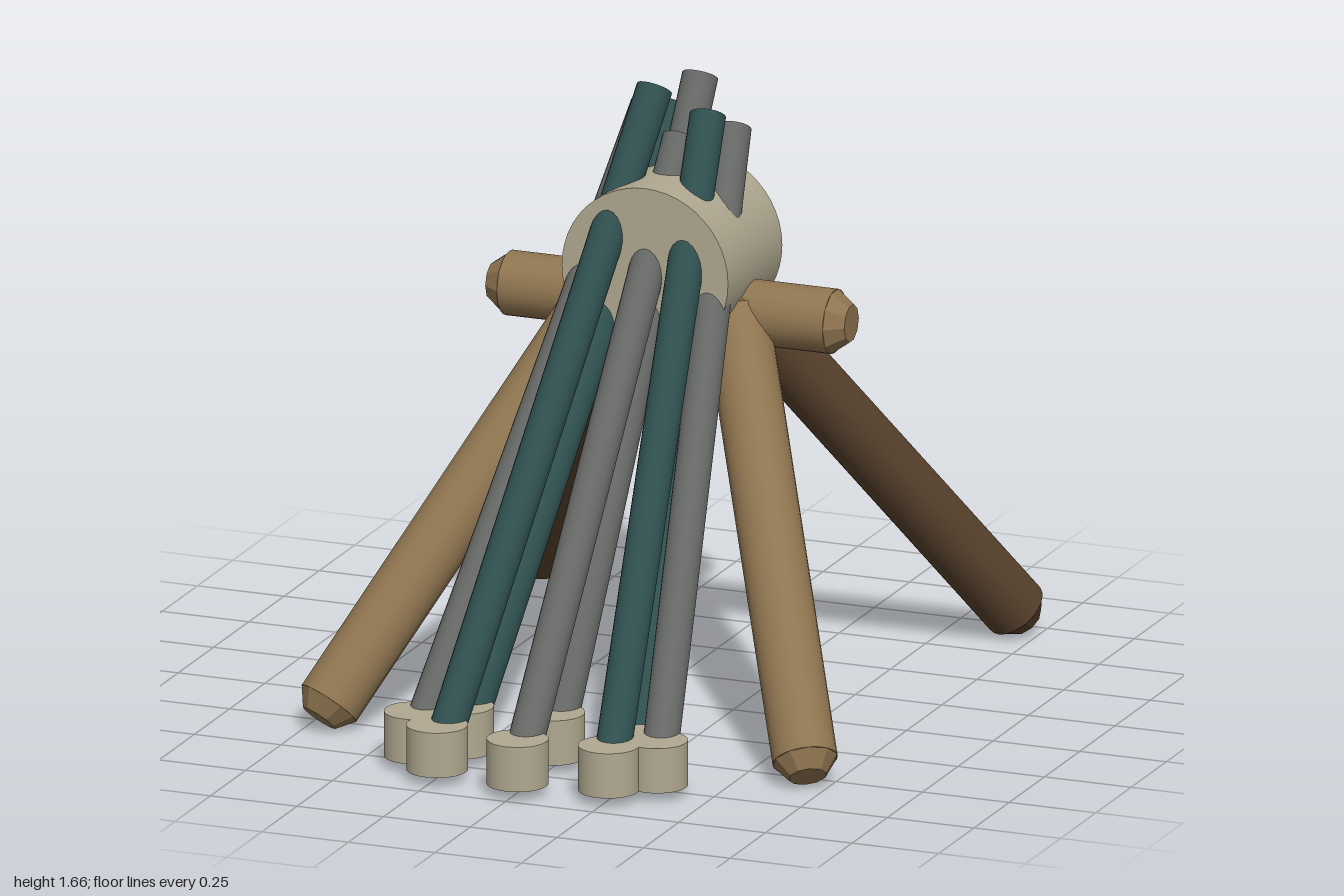
import * as THREE from 'three';

const material = (name, color) => {
  const m = new THREE.MeshStandardMaterial({ color });
  m.name = name;
  return m;
};

// Turns a mesh built along +y so that it spans from a to b
function span(object, a, b) {
  const dir = b.clone().sub(a).normalize();
  object.quaternion.setFromUnitVectors(new THREE.Vector3(0, 1, 0), dir);
  object.position.copy(a).add(b).multiplyScalar(0.5);
  return object;
}

// Round pole with faceted, bevelled ends
function pole(name, a, b, radius, mat) {
  const group = new THREE.Group();
  group.name = name;
  const bevel = 0.048;
  const body = a.distanceTo(b) - 2 * bevel;
  const shaft = new THREE.Mesh(new THREE.CylinderGeometry(radius, radius, body, 24), mat);
  shaft.name = name + 'Shaft';
  group.add(shaft);
  for (const side of [1, -1]) {
    const geo = new THREE.CylinderGeometry(0.052, radius, bevel, 10).toNonIndexed();
    geo.computeVertexNormals();
    const tip = new THREE.Mesh(geo, mat);
    tip.name = name + 'Tip';
    tip.position.y = side * (body + bevel) / 2;
    if (side < 0) tip.rotation.x = Math.PI;
    group.add(tip);
  }
  return span(group, a, b);
}

export function createModel() {
  const model = new THREE.Group();
  model.name = 'tubeStand';
  const v = (x, y, z) => new THREE.Vector3(x, y, z);

  const bone = material('bone', 0xb0a890);
  const tan = material('tanWood', 0x8f7550);
  const brown = material('darkWood', 0x5a432e);
  const teal = material('darkTeal', 0x2f4f4f);
  const grey = material('grey', 0x666866);

  // Drum lying along z
  const drum = new THREE.Mesh(new THREE.CylinderGeometry(0.24, 0.24, 0.385, 48), bone);
  drum.name = 'drum';
  drum.rotation.x = Math.PI / 2;
  drum.position.set(0, 1.2, -0.18);
  model.add(drum);

  // Crossbar and four splayed legs
  model.add(pole('crossbar', v(-0.518, 1.068, -0.18), v(0.518, 1.068, -0.18), 0.088, tan));
  for (const s of [1, -1]) {
    const side = s > 0 ? 'Left' : 'Right';
    const top = v(s * 0.18, 1.1, -0.18);
    model.add(pole('front' + side + 'Leg', top, v(s * 0.705, 0.042, 0.59), 0.088, tan));
    model.add(pole('back' + side + 'Leg', top, v(s * 0.705, 0.042, -0.95), 0.088, brown));
  }

  // Upper ends of the eight tubes, starting at the front and turning to +x
  const tops = [
    v(0, 1.51, -0.24), v(0.075, 1.58, -0.25), v(0.12, 1.53, -0.32), v(0.075, 1.49, -0.37),
    v(0, 1.645, -0.38), v(-0.075, 1.56, -0.37), v(-0.12, 1.57, -0.31), v(-0.075, 1.64, -0.24),
  ];

  // Tubes rise from an oval ring of cups through the drum
  tops.forEach((top, i) => {
    const angle = i * Math.PI / 4;
    const x = 0.35 * Math.sin(angle);
    const z = 0.785 + 0.13 * Math.cos(angle);
    const foot = v(x, 0.06, z);
    const tube = new THREE.Mesh(
      new THREE.CylinderGeometry(0.049, 0.049, foot.distanceTo(top), 20), i % 2 ? teal : grey);
    tube.name = 'tube' + (i + 1);
    model.add(span(tube, foot, top));

    const cup = new THREE.Mesh(new THREE.CylinderGeometry(0.083, 0.083, 0.125, 24), bone);
    cup.name = 'cup' + (i + 1);
    cup.position.set(x, 0.0975, z);
    model.add(cup);
  });

  return model;
}
